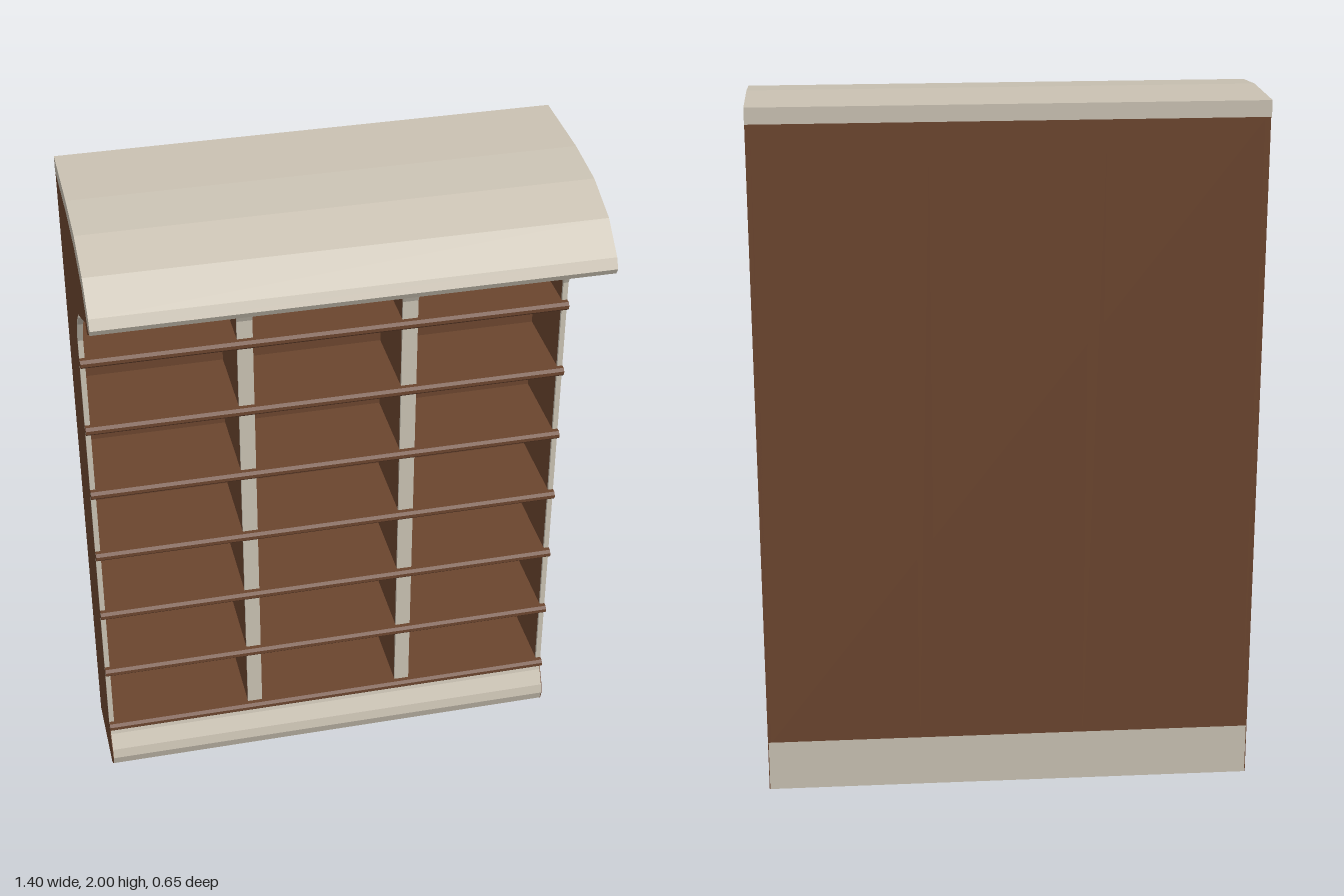
import * as THREE from 'three';

const cream = new THREE.MeshStandardMaterial({ color: 0xc9c1b2 });
cream.name = 'cream';
const brown = new THREE.MeshStandardMaterial({ color: 0x6b452e });
brown.name = 'brown wood';

// Outline given as [z, y] points, swept along x between x0 and x1
function sweep(name, points, x0, x1, material) {
  const shape = new THREE.Shape(points.map(([z, y]) => new THREE.Vector2(-z, y)));
  const geometry = new THREE.ExtrudeGeometry(shape, { depth: x1 - x0, bevelEnabled: false });
  geometry.rotateY(Math.PI / 2).translate(x0, 0, 0);
  const mesh = new THREE.Mesh(geometry, material);
  mesh.name = name;
  return mesh;
}

function box(name, x, y, z, w, h, d, material) {
  const mesh = new THREE.Mesh(new THREE.BoxGeometry(w, h, d), material);
  mesh.position.set(x, y, z);
  mesh.name = name;
  return mesh;
}

export function createModel() {
  const group = new THREE.Group();
  group.name = 'bookcase';

  const half = 0.7;
  const back = -0.315;

  // Plinth with a rounded front and wooden end caps
  const plinth = [[back, 0], [-0.055, 0], [-0.02, 0.025], [-0.01, 0.055], [-0.016, 0.085],
    [-0.04, 0.13], [-0.045, 0.15], [back, 0.15]];
  group.add(sweep('plinth', plinth, -half + 0.002, half - 0.002, cream));
  for (const s of [-1, 1]) {
    const x = s > 0 ? half - 0.002 : -half;
    group.add(sweep('plinthEndCap', plinth, x, x + 0.002, brown));
  }

  // Curved canopy
  const canopyTop = [[-0.325, 2], [-0.07, 2], [0.092, 1.985], [0.226, 1.938], [0.31, 1.866],
    [0.325, 1.838], [0.315, 1.82], [0.28, 1.82]];
  const canopyUnder = [[0.2, 1.89], [0.07, 1.937], [-0.085, 1.955], [-0.325, 1.955]];
  group.add(sweep('canopy', [...canopyTop, ...canopyUnder], -half, half, cream));

  // Upright panels with a bracket supporting the canopy
  const curve = [[-0.055, 1.585], [-0.02, 1.66], [0.037, 1.715], [0.127, 1.757], [0.235, 1.81]];
  const upright = [[back, 0.15], [-0.055, 0.15], ...curve, [0.276, 1.82],
    ...canopyUnder.slice(0, 3), [back, 1.955]];
  // Pale strip covering the front edge of each upright
  const strip = [[-0.056, 0.15], [-0.047, 0.15], [-0.047, 1.58], [-0.013, 1.653], [0.037, 1.706],
    [0.037, 1.716], [-0.021, 1.661], [-0.056, 1.586]];
  const spans = [[-half, -0.685], [-0.26, -0.215], [0.215, 0.26], [0.685, half]];
  for (const [x0, x1] of spans) {
    group.add(sweep('upright', upright, x0, x1, brown));
    group.add(sweep('uprightEdge', strip, x0, x1, cream));
  }

  // Back panel
  group.add(box('backPanel', 0, 1.0525, back + 0.0075, 1.38, 1.805, 0.015, brown));

  // Shelves with rounded nosings
  for (let i = 0; i < 7; i++) {
    const y = 0.163 + i * 0.2245;
    group.add(box('shelf', 0, y, -0.173, 1.38, 0.022, 0.256, brown));
    const nosing = [[-0.05, y - 0.013], [-0.034, y - 0.013], [-0.026, y - 0.005],
      [-0.026, y + 0.005], [-0.034, y + 0.013], [-0.05, y + 0.013]];
    group.add(sweep('shelfNosing', nosing, -half, half, brown));
  }

  // Wooden moulding under the canopy lip
  const moulding = [[0.23, 1.805], [0.245, 1.79], [0.262, 1.79], [0.278, 1.803], [0.28, 1.82], [0.24, 1.83]];
  group.add(sweep('canopyMoulding', moulding, -half, half, brown));

  return group;
}
